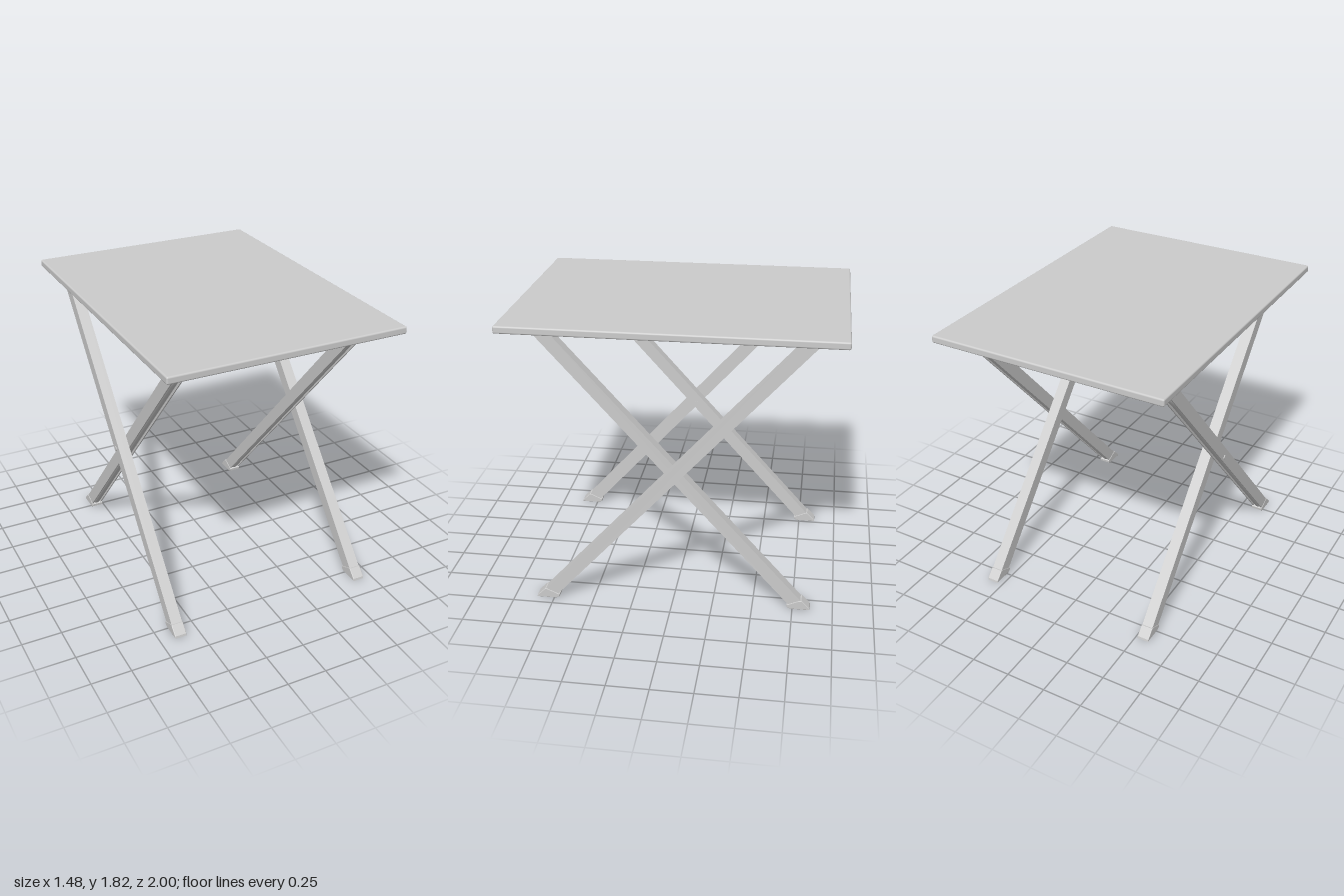
import * as THREE from 'three';
import { RoundedBoxGeometry } from 'three/addons/geometries/RoundedBoxGeometry.js';

const FOOT_Z = 0.8, TOP_Z = -0.79, TOP_Y = 1.772;   // leg axis, foot forward
const HALF = 0.0525, WALL = 0.008, WIDTH = 0.07;    // leg section
const mat = new THREE.MeshStandardMaterial({ color: 0xcccccc });

function add(parent, name, geometry) {
  const mesh = new THREE.Mesh(geometry, mat);
  mesh.name = name;
  parent.add(mesh);
  return mesh;
}

// Extrude a side outline of [z, y] points across x, centred on xMid
function sideExtrude(points, xMid, width, bevel = 0) {
  const shape = new THREE.Shape(points.map(([z, y]) => new THREE.Vector2(z, y)));
  const geo = new THREE.ExtrudeGeometry(shape, {
    depth: width - 2 * bevel, bevelEnabled: bevel > 0, bevelSize: bevel,
    bevelThickness: bevel, bevelOffset: -bevel, bevelSegments: 2,
  });
  geo.rotateY(-Math.PI / 2);
  geo.translate(xMid + width / 2 - bevel, 0, 0);
  return geo;
}

const axisZ = (y) => FOOT_Z + (TOP_Z - FOOT_Z) * y / TOP_Y;

// Slanted strip with level ends, between two offsets from the leg axis
function strip(x, width, t0, t1) {
  return sideExtrude([
    [FOOT_Z + t0, 0.005], [FOOT_Z + t1, 0.005], [TOP_Z + t1, TOP_Y], [TOP_Z + t0, TOP_Y],
  ], x, width);
}

function makeFrame(name, xs) {
  const frame = new THREE.Group();
  frame.name = name;

  for (const x of xs) {
    // Channel leg, open on its underside
    const leg = new THREE.Group();
    leg.name = 'leg';
    for (const s of [-1, 1]) {
      add(leg, 'legSide', strip(x + s * (WIDTH - WALL) / 2, WALL, -HALF, HALF));
    }
    add(leg, 'legFace', strip(x, WIDTH, HALF - WALL, HALF));
    frame.add(leg);

    // Foot cap
    add(frame, 'footCap', sideExtrude([
      [0.86, 0], [0.857, 0.014], [0.807, 0.064], [0.79, 0.062],
      [0.714, 0.028], [0.716, 0.012], [0.735, 0],
    ], x, WIDTH + 0.006, 0.004));
  }

  // Bent tube lying in the legs and crossing under the top
  const [xa, xb] = xs;
  const p = (x, y) => new THREE.Vector3(x, y, axisZ(y) - 0.008);
  const barY = 1.737, bendY = 1.59, bendX = 0.13;
  const path = new THREE.CurvePath();
  const bend = (a, b, c, d) => path.add(new THREE.CubicBezierCurve3(a, b, c, d));
  path.add(new THREE.LineCurve3(p(xa, 0.03), p(xa, bendY)));
  bend(p(xa, bendY), p(xa, 1.675), p(xa + 0.05, barY), p(xa + bendX, barY));
  path.add(new THREE.LineCurve3(p(xa + bendX, barY), p(xb - bendX, barY)));
  bend(p(xb - bendX, barY), p(xb - 0.05, barY), p(xb, 1.675), p(xb, bendY));
  path.add(new THREE.LineCurve3(p(xb, bendY), p(xb, 0.03)));
  add(frame, 'frameTube', new THREE.TubeGeometry(path, 240, 0.031, 16));
  return frame;
}

export function createModel() {
  const model = new THREE.Group();
  model.name = 'foldingTable';

  // Table top
  add(model, 'tableTop', new RoundedBoxGeometry(1.48, 0.045, 2, 3, 0.01))
    .position.y = 1.7935;

  // Shallow tapered panel beneath the top
  const panel = new THREE.BoxGeometry(1, 0.034, 1.56);
  const pos = panel.attributes.position;
  for (let i = 0; i < pos.count; i++) {
    if (pos.getY(i) < 0) pos.setXYZ(i, pos.getX(i) * 0.8, pos.getY(i), pos.getZ(i) * 0.93);
  }
  panel.computeVertexNormals();
  add(model, 'underPanel', panel).position.y = 1.758;

  // Crossed leg frames, the second turned to face the other way
  model.add(makeFrame('outerFrame', [-0.62, 0.655]));
  const inner = makeFrame('innerFrame', [-0.575, 0.55]);
  inner.rotation.y = Math.PI;
  model.add(inner);

  // Pivot pins where the legs cross
  for (const x of [-0.585, 0.615]) {
    const pin = add(model, 'pivotPin', new THREE.CylinderGeometry(0.016, 0.016, 0.15, 16));
    pin.rotation.z = Math.PI / 2;
    pin.position.set(x, 0.877, 0);
  }

  // Retaining strap that runs under both tubes and hooks up to the top
  const low = [[0.94, 1.774], [0.92, 1.75], [0.85, 1.699], [0.83, 1.696]];
  const under = [...low, ...low.map(([z, y]) => [-z, y]).reverse()];
  const over = under.map(([z, y]) => [z * 0.994, y + 0.006]).reverse();
  add(model, 'strap', sideExtrude([...under, ...over], 0, 0.054));

  return model;
}
